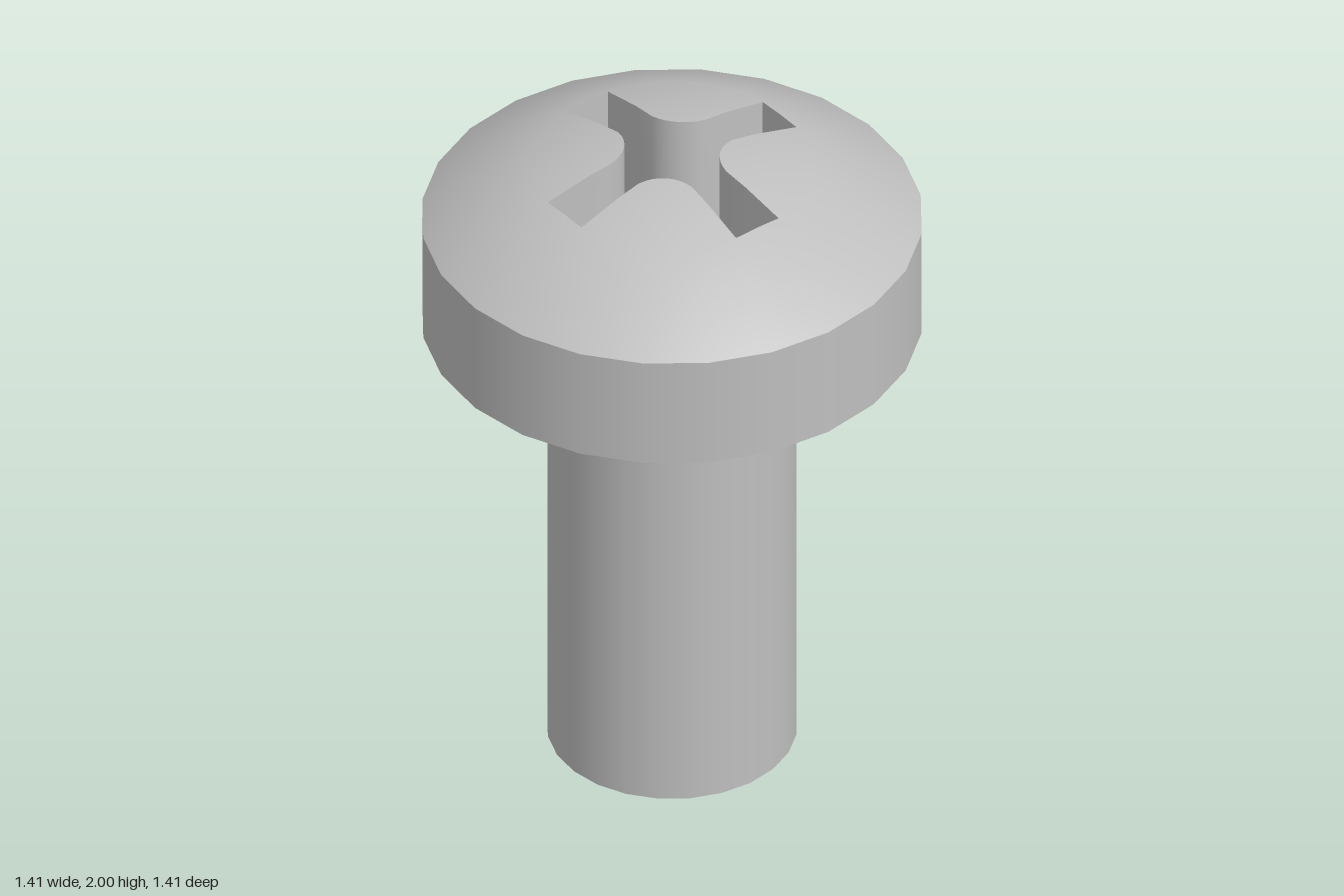
import * as THREE from 'three';
import { toCreasedNormals } from 'three/addons/utils/BufferGeometryUtils.js';

const SIDES = 24, HEAD_R = 0.705, RIM_Y = 1.765, FLOOR_Y = 1.6;
const rad = THREE.MathUtils.degToRad;

// Angles that catch every corner of the cross and of the head's 24-sided rim
const eighth = [0, 11.17, 15, 20, 25, 30, 35, 40];
const quarter = [...eighth, 45, ...eighth.slice(1).reverse().map(a => 90 - a)];
const angles = [0, 90, 180, 270].flatMap(q => quarter.map(a => a + q));

// Distance from the axis to the cross outline: arm end, flaring side, fillet
function crossRadius(deg) {
  const q = deg % 90, fold = q > 45 ? 90 - q : q, t = rad(fold);
  if (fold < 11.2) return 0.385 / Math.cos(t);
  if (fold < 20) return 0.0495 / (Math.sin(t) - 0.0688 * Math.cos(t));
  const c = 0.182, r = 0.122, b = c * (Math.cos(t) + Math.sin(t));
  return b - Math.sqrt(b * b - 2 * c * c + r * r);
}

// Distance to the straight-sided head rim
function rimRadius(deg) {
  return HEAD_R * Math.cos(rad(7.5)) / Math.cos(rad((deg % 15) - 7.5));
}

function domeY(r) {
  if (r < 0.4) return 2.002 - 0.375 * r * r;
  return THREE.MathUtils.mapLinear(r, 0.4, HEAD_R, 1.942, RIM_Y);
}

// Skin over closed rings; each ring maps an angle to [radius, height]
function loft(rings) {
  const n = angles.length, pos = [], index = [];
  for (const ring of rings) {
    for (const a of angles) {
      const [r, y] = ring(a);
      pos.push(r * Math.cos(rad(a)), y, r * Math.sin(rad(a)));
    }
  }
  for (let i = 0; i < rings.length - 1; i++) {
    for (let j = 0; j < n; j++) {
      const a = i * n + j, b = i * n + (j + 1) % n;
      index.push(a, b, a + n, b, b + n, a + n);
    }
  }
  const geo = new THREE.BufferGeometry();
  geo.setAttribute('position', new THREE.Float32BufferAttribute(pos, 3));
  geo.setIndex(index);
  geo.computeVertexNormals();
  return geo;
}

export function createModel() {
  const model = new THREE.Group();
  model.name = 'screw';
  const steel = new THREE.MeshStandardMaterial({ color: 0xbfbfbf });
  steel.name = 'steel';
  const add = (name, geo) => {
    const mesh = new THREE.Mesh(geo, steel);
    mesh.name = name;
    model.add(mesh);
  };

  // Turned faces, from the tip up to the head rim, with sharp edges between
  const profile = [
    ['tip', 0, 0], ['shank', 0.352, 0], ['shoulder', 0.352, 1.165],
    ['neck', 0.3, 1.29], ['headUnderside', 0.44, 1.42],
    ['headSide', HEAD_R, 1.42], ['rim', HEAD_R, RIM_Y],
  ];
  for (let i = 0; i < profile.length - 1; i++) {
    const pts = [profile[i], profile[i + 1]].map(p => new THREE.Vector2(p[1], p[2]));
    add(profile[i][0], new THREE.LatheGeometry(pts, SIDES));
  }

  // Domed top around the cross opening, shaded as a spherical cap
  const onDome = f => a => [f(a), domeY(f(a))];
  const dome = loft([
    onDome(crossRadius),
    onDome(a => (crossRadius(a) + 0.4) / 2),
    onDome(() => 0.4),
    a => [rimRadius(a), RIM_Y],
  ]);
  const p = dome.attributes.position, v = new THREE.Vector3();
  for (let i = 0; i < p.count; i++) {
    v.fromBufferAttribute(p, i);
    v.y -= 0.825;
    v.normalize();
    dome.attributes.normal.setXYZ(i, v.x, v.y, v.z);
  }
  add('headDome', dome);

  // Cross recess walls and floor
  const floorEdge = a => [crossRadius(a), FLOOR_Y];
  add('recessWalls', toCreasedNormals(loft([floorEdge, onDome(crossRadius)]), 0.6));
  add('recessFloor', loft([() => [0, FLOOR_Y], floorEdge]));

  return model;
}
